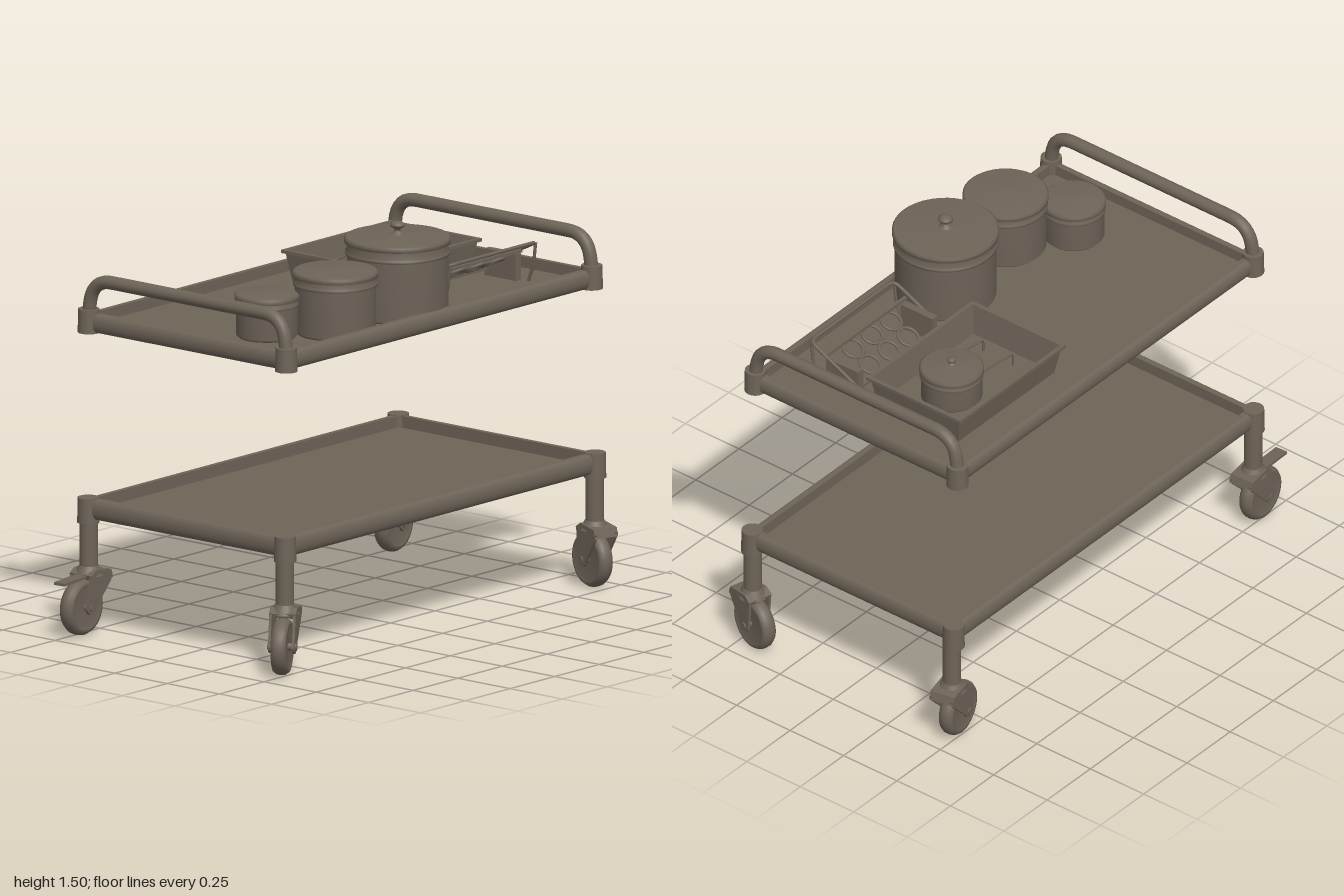
import * as THREE from 'three';

const metal = new THREE.MeshStandardMaterial({ color: 0x6e6458 });
metal.name = 'warm grey metal';
const metalSheet = metal;

const v = (x, y, z) => new THREE.Vector3(x, y, z);

function add(parent, name, geometry, x = 0, y = 0, z = 0) {
  const mesh = new THREE.Mesh(geometry, metalSheet);
  mesh.name = name;
  mesh.position.set(x, y, z);
  parent.add(mesh);
  return mesh;
}

function lathe(points, segments = 32) {
  return new THREE.LatheGeometry(points.map(([r, y]) => new THREE.Vector2(r, y)), segments);
}

// Bent wire with short rounded corners
function wire(points, radius, corner, sides = 6) {
  const path = new THREE.CurvePath();
  let from = points[0];
  for (let i = 1; i < points.length - 1; i++) {
    const p = points[i];
    const a = p.clone().add(points[i - 1].clone().sub(p).setLength(corner));
    const b = p.clone().add(points[i + 1].clone().sub(p).setLength(corner));
    path.add(new THREE.LineCurve3(from, a));
    path.add(new THREE.QuadraticBezierCurve3(a, p, b));
    from = b;
  }
  path.add(new THREE.LineCurve3(from, points[points.length - 1]));
  return new THREE.TubeGeometry(path, points.length * 14, radius, sides, false);
}

// Rail with a flat inner face and a rounded outer face (+z before turning)
function railGeometry(length, h) {
  const s = new THREE.Shape();
  s.moveTo(-0.018, -h);
  s.lineTo(0, -h);
  s.absellipse(0, 0, 0.02, h, -Math.PI / 2, Math.PI / 2, false);
  s.lineTo(-0.018, h);
  const g = new THREE.ExtrudeGeometry(s, { depth: length, bevelEnabled: false, curveSegments: 10 });
  return g.translate(0, 0, -length / 2).rotateY(-Math.PI / 2);
}

// Shelf: floor, four rails and four corner sockets
function shelf(name, x0, x1, z0, z1, y, h, postLow, postHigh) {
  const g = new THREE.Group();
  g.name = name;
  const w = x1 - x0, d = z1 - z0, cx = (x0 + x1) / 2, cz = (z0 + z1) / 2;
  add(g, 'shelfFloor', new THREE.BoxGeometry(w, 0.012, d), cx, y - 0.012, cz);
  add(g, 'frontRail', railGeometry(w, h), cx, y, z1);
  add(g, 'backRail', railGeometry(w, h), cx, y, z0).rotation.y = Math.PI;
  add(g, 'leftRail', railGeometry(d, h), x1, y, cz).rotation.y = Math.PI / 2;
  add(g, 'rightRail', railGeometry(d, h), x0, y, cz).rotation.y = -Math.PI / 2;
  for (const x of [x0, x1]) for (const z of [z0, z1]) {
    add(g, 'cornerSocket', new THREE.CylinderGeometry(0.039, 0.041, postHigh - postLow, 20),
      x, (postLow + postHigh) / 2, z);
  }
  return g;
}

// Swivel caster, trailing along local +x, with its leg
function caster(x, z, dx, dz, offset, pedal) {
  const g = new THREE.Group();
  g.name = 'caster';
  g.position.set(x, 0, z);
  add(g, 'leg', new THREE.CylinderGeometry(0.034, 0.034, 0.2, 20), 0, 0.33, 0);
  add(g, 'swivelCollar', new THREE.CylinderGeometry(0.036, 0.055, 0.035, 20), 0, 0.235, 0);
  const turn = new THREE.Group();
  turn.name = 'wheelAssembly';
  turn.rotation.y = Math.atan2(-dz, dx);
  g.add(turn);
  const wheel = lathe([[0, -0.022], [0.075, -0.022], [0.08, -0.03], [0.094, -0.027], [0.103, -0.014],
    [0.105, 0], [0.103, 0.014], [0.094, 0.027], [0.08, 0.03], [0.075, 0.022], [0, 0.022]], 36);
  add(turn, 'wheel', wheel.rotateX(Math.PI / 2), offset, 0.105, 0);
  const crown = new THREE.Shape();
  crown.moveTo(-0.08, 0.2);
  crown.lineTo(0.045, 0.208);
  crown.lineTo(0.05, 0.225);
  crown.lineTo(0.02, 0.243);
  crown.lineTo(-0.07, 0.232);
  add(turn, 'forkCrown', new THREE.ExtrudeGeometry(crown, { depth: 0.1, bevelEnabled: false }), 0, 0, -0.05);
  // Tapering fork cheeks
  const cheek = new THREE.Shape();
  cheek.moveTo(-0.08, 0.215);
  cheek.lineTo(-0.07, 0.19);
  cheek.lineTo(offset - 0.024, 0.098);
  cheek.absarc(offset, 0.105, 0.025, Math.PI * 1.1, Math.PI * 2, false);
  cheek.lineTo(0.048, 0.225);
  for (const side of [-1, 1]) {
    add(turn, 'forkCheek', new THREE.ExtrudeGeometry(cheek, { depth: 0.01, bevelEnabled: false }),
      0, 0, side * 0.044 - 0.005);
  }
  add(turn, 'axle', new THREE.CylinderGeometry(0.014, 0.014, 0.108, 14), offset, 0.105, 0).rotation.x = Math.PI / 2;
  if (pedal) {
    const p = add(turn, 'brakePedal', new THREE.BoxGeometry(0.14, 0.01, 0.05), 0.108, 0.216, 0);
    p.rotation.z = -0.04;
  }
  return g;
}

// Lidded pot: r is the lid radius, top is the lid height
function pot(name, x, z, r, base, top, lid, knob) {
  const g = new THREE.Group();
  g.name = name;
  g.position.set(x, 0, z);
  const b = r * 0.95, y = top - lid;
  add(g, 'potBody', lathe([[0, base], [b - 0.01, base], [b, base + 0.01], [b, y - 0.006],
    [r * 0.985, y - 0.004], [r * 0.985, y + 0.006], [b, y + 0.01], [b, top - 0.02]], 40));
  add(g, 'potLid', lathe([[b, top - 0.024], [r, top - 0.022], [r, top - 0.006],
    [r - 0.008, top], [0, top + 0.008]], 40));
  if (knob) {
    add(g, 'lidKnob', lathe([[0.03, 0], [0.024, 0.008], [0.011, 0.014], [0.011, 0.024], [0.027, 0.034],
      [0.027, 0.042], [0.016, 0.05], [0, 0.052]].map(([a, c]) => [a * knob, c * knob]), 18), 0, top + 0.002, 0);
  }
  return g;
}

// Open rectangular pan, from rectangular loops outside then inside
function bakingPan(x, y, z, w, d, h) {
  const loops = [[0.03, 0], [0.012, h - 0.012], [0, h - 0.012], [0, h], [0.016, h], [0.036, 0.008]];
  const pos = [], idx = [];
  const corner = (inset, yy, k) => [
    [-1, 1, 1, -1][k] * (w / 2 - inset), yy, [1, 1, -1, -1][k] * (d / 2 - inset)];
  for (const [i, yy] of loops) for (let k = 0; k < 4; k++) pos.push(...corner(i, yy, k));
  for (let l = 0; l < loops.length - 1; l++) for (let k = 0; k < 4; k++) {
    const a = l * 4 + k, b = l * 4 + (k + 1) % 4;
    idx.push(a, b, b + 4, a, b + 4, a + 4);
  }
  const e = (loops.length - 1) * 4;
  idx.push(e, e + 1, e + 2, e, e + 2, e + 3, 0, 2, 1, 0, 3, 2);
  let g = new THREE.BufferGeometry();
  g.setAttribute('position', new THREE.Float32BufferAttribute(pos, 3));
  g.setIndex(idx);
  g = g.toNonIndexed();
  g.computeVertexNormals();
  return g.translate(x, y, z);
}

export function createModel() {
  const model = new THREE.Group();
  model.name = 'servingCart';

  model.add(shelf('upperShelf', -0.82, 0.89, -0.492, 0.453, 1.16, 0.035, 1.122, 1.21));
  model.add(shelf('lowerShelf', -0.825, 0.91, -0.49, 0.452, 0.465, 0.038, 0.412, 0.506));

  // Push handles
  for (const x of [-0.82, 0.89]) {
    add(model, 'pushHandle', wire([v(x, 1.19, -0.492), v(x * 0.998, 1.322, -0.475), v(x * 0.998, 1.322, 0.436),
      v(x, 1.19, 0.453)], 0.025, 0.09, 14));
  }

  // Casters, each swivelled differently
  model.add(caster(-0.825, 0.45, -0.85, 0.5, 0.052, false));
  model.add(caster(-0.825, -0.488, -1, 0.06, 0.045, true));
  model.add(caster(0.91, 0.45, 0.28, -0.96, 0.015, false));
  model.add(caster(0.91, -0.482, -0.97, 0.16, 0.045, false));

  // Cookware
  const floor = 1.154;
  model.add(pot('largePot', 0.023, 0.265, 0.195, floor, 1.447, 0.06, 1));
  model.add(pot('mediumPot', -0.348, 0.284, 0.157, floor, 1.39, 0.05, 0));
  model.add(pot('smallPot', -0.553, 0.132, 0.119, floor, 1.318, 0.042, 0));
  add(model, 'bakingPan', bakingPan(0.436, floor, -0.165, 0.614, 0.438, 0.12));
  const saucepan = pot('saucepan', 0.52, -0.165, 0.118, floor + 0.01, 1.302, 0.04, 0.6);
  model.add(saucepan);
  add(saucepan, 'wireHandle', wire([v(-0.07, 1.255, -0.07), v(-0.27, 1.235, -0.07), v(-0.27, 1.185, -0.07)], 0.004, 0.015));
  add(saucepan, 'wireHandle', wire([v(-0.07, 1.255, 0.07), v(-0.27, 1.235, 0.07), v(-0.27, 1.185, 0.07)], 0.004, 0.015));

  // Sloping wire rack with six rings
  const rack = new THREE.Group();
  rack.name = 'wireRack';
  model.add(rack);
  add(rack, 'rackFrame', wire([v(0.245, 1.19, 0.09), v(0.245, 1.305, 0.328), v(0.728, 1.305, 0.328),
    v(0.728, 1.19, 0.09)], 0.007, 0.03, 8));
  for (const x of [0.247, 0.726]) {
    add(rack, 'rackLeg', wire([v(x, 1.305, 0.325), v(x, 1.22, 0.315), v(x, floor, 0.29)], 0.006, 0.02));
    add(rack, 'rackEnd', new THREE.BoxGeometry(0.03, 0.1, 0.15), x > 0.5 ? 0.705 : 0.275, 1.205, 0.185);
  }
  add(rack, 'rackBar', new THREE.BoxGeometry(0.46, 0.012, 0.012), 0.488, 1.265, 0.262);
  add(rack, 'rackBar', new THREE.BoxGeometry(0.46, 0.012, 0.012), 0.488, 1.18, 0.115);
  for (const x of [0.375, 0.485, 0.595]) for (const [y, z] of [[1.205, 0.155], [1.24, 0.235]]) {
    const ring = add(rack, 'rackRing', new THREE.TorusGeometry(0.04, 0.006, 8, 24), x, y, z);
    ring.rotation.x = Math.PI / 2 - 0.45;
  }
  return model;
}
